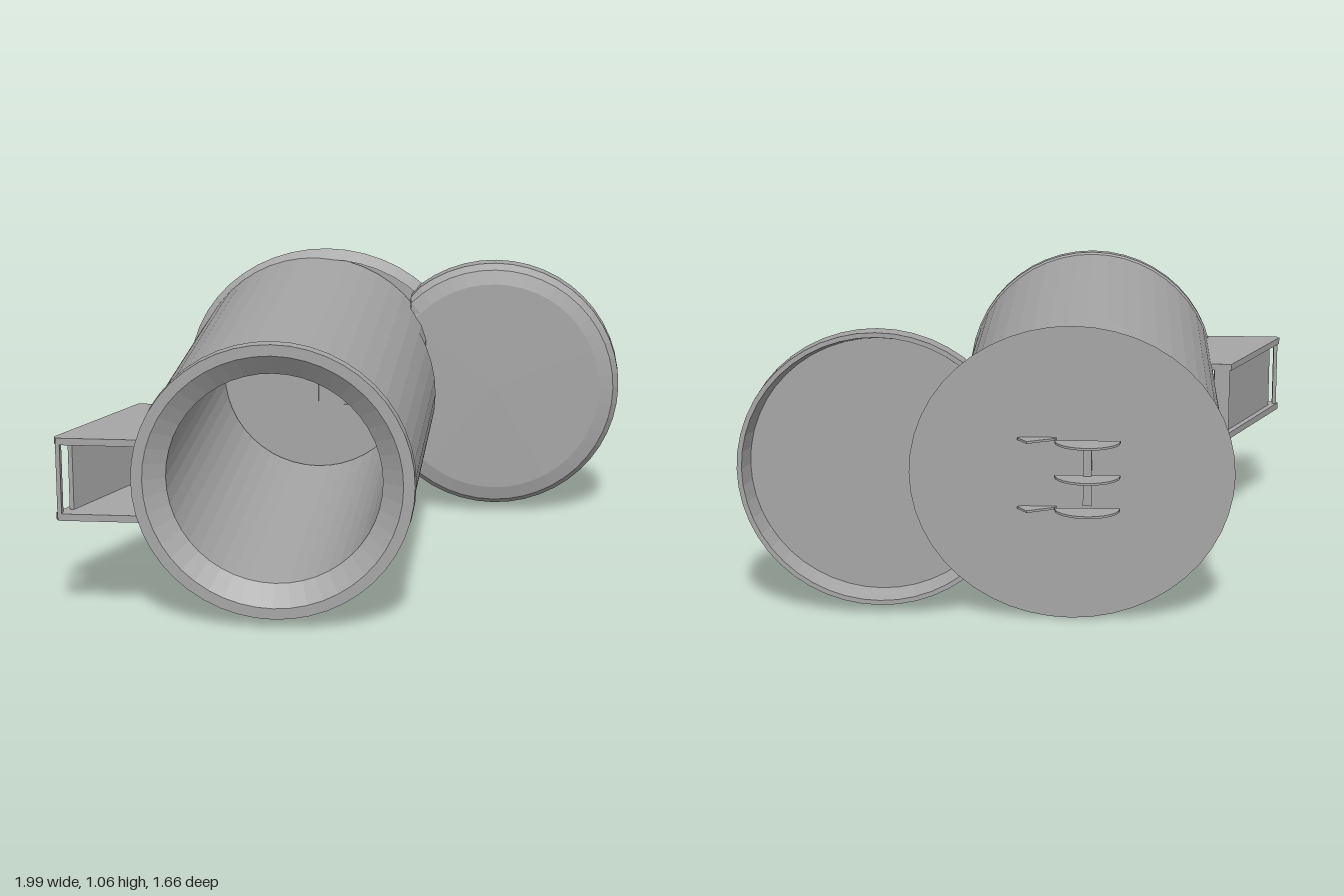
import * as THREE from 'three';

const grey = new THREE.MeshStandardMaterial({ color: 0xa6a6a6, flatShading: true, side: THREE.DoubleSide });
grey.name = 'plain grey';

function add(parent, name, geometry, x = 0, y = 0, z = 0) {
  const mesh = new THREE.Mesh(geometry, grey);
  mesh.name = name;
  mesh.position.set(x, y, z);
  parent.add(mesh);
  return mesh;
}

// Profile of [radius, z] turned about the z axis
function turned(profile, segments = 48) {
  const points = profile.map(([r, z]) => new THREE.Vector2(r, z));
  return new THREE.LatheGeometry(points, segments).rotateX(Math.PI / 2);
}

// Move vertices by a rule on x
function limitX(geometry, rule) {
  const p = geometry.attributes.position;
  for (let i = 0; i < p.count; i++) p.setX(i, rule(p.getX(i), p.getZ(i)));
  return geometry;
}

// Flat outline in x and z, with a thickness in y
function slab(points, thickness) {
  const shape = new THREE.Shape(points.map(([x, z]) => new THREE.Vector2(x, z)));
  const g = new THREE.ExtrudeGeometry(shape, { depth: thickness, bevelEnabled: false });
  return g.rotateX(Math.PI / 2).translate(0, thickness, 0);
}

export function createModel() {
  const model = new THREE.Group();
  const cx = -0.235, cy = 0.535;

  // Hollow barrel, with the back end cut flat beside the lid
  const barrel = turned([
    [0.497, -0.7], [0.497, -0.465], [0.497, -0.455], [0.49, 0.775],
    [0.497, 0.785], [0.495, 0.83], [0.455, 0.83], [0.38, 0.775], [0.38, -0.7],
  ]);
  limitX(barrel, (x, z) => (z < -0.46 ? Math.min(x, 0.45) : x));
  add(model, 'barrel', barrel, cx, cy);

  // Flared plate closing the back
  const plate = turned([[0, -0.71], [1, -0.71], [0.93, -0.67]]);
  plate.scale(0.57, 0.53, 1);
  add(model, 'backPlate', plate, -0.19, cy);

  // Round lid, hollow at the back and trimmed where it meets the barrel
  const lid = turned([
    [0, -0.62], [0.46, -0.62], [0.48, -0.7], [0.497, -0.7],
    [0.497, -0.63], [0.475, -0.6], [0.42, -0.585], [0, -0.58],
  ]);
  limitX(lid, (x) => Math.max(x, -0.34));
  add(model, 'lid', lid, 0.49, cy);

  // Side bracket: two wedge plates, a sloping wall and an outer post
  const bracket = new THREE.Group();
  bracket.name = 'sideBracket';
  model.add(bracket);
  const wedge = [[-0.68, 0.34], [-0.785, 0.33], [-1, 0.8], [-0.99, 0.82], [-0.68, 0.82]];
  for (const y of [0.38, 0.655]) add(bracket, 'bracketPlate', slab(wedge, 0.025), 0, y);
  const slope = [[-0.77, 0.35], [-0.755, 0.35], [-0.945, 0.765], [-0.96, 0.765]];
  add(bracket, 'bracketSlope', slab(slope, 0.28), 0, 0.39);
  add(bracket, 'bracketPost', new THREE.BoxGeometry(0.015, 0.28, 0.03), -0.985, 0.53, 0.805);
  add(bracket, 'bracketRearPost', new THREE.BoxGeometry(0.06, 0.28, 0.03), -0.75, 0.53, 0.35);

  // Fins and their post on the back plate
  const fins = new THREE.Group();
  fins.name = 'backFins';
  model.add(fins);
  const arc = [];
  for (let i = 0; i <= 12; i++) {
    const a = (i / 12) * Math.PI;
    arc.push([-0.245 + 0.115 * Math.cos(a), -0.73 - 0.1 * Math.sin(a)]);
  }
  for (const y of [0.41, 0.53, 0.655]) add(fins, 'halfRoundFin', slab(arc, 0.008), 0, y);
  const blade = [[-0.14, -0.705], [-0.13, -0.725], [-0.035, -0.77], [0, -0.72], [-0.02, -0.705]];
  for (const y of [0.41, 0.66]) add(fins, 'tiltedFin', slab(blade, 0.008), 0, y);
  add(fins, 'finPost', new THREE.BoxGeometry(0.03, 0.22, 0.04), -0.245, 0.54, -0.725);

  return model;
}
